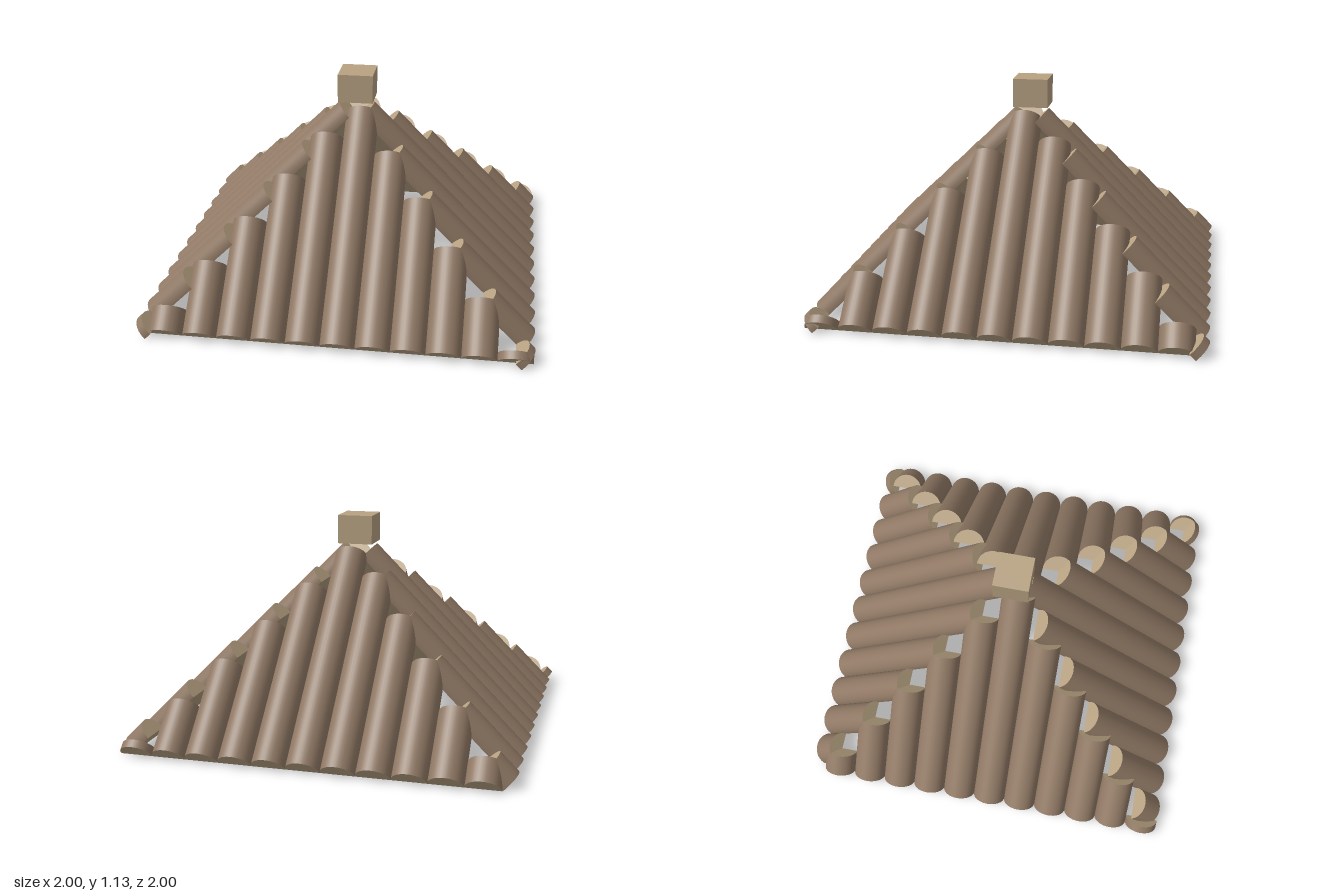
import * as THREE from 'three';
import { mergeGeometries } from 'three/addons/utils/BufferGeometryUtils.js';

const RADIUS = 0.088;
const EAVE = 0.937; // distance from centre to the foot of the flat log faces
const SPACING = 0.1753;
const OFFSET = 0.031; // the rows of logs sit slightly off centre
const SEGMENTS = 16;

const bark = new THREE.MeshStandardMaterial({ color: 0x8f7864 });
const cutWood = new THREE.MeshStandardMaterial({ color: 0xb8a282 });

// Half log standing on y = 0, round side towards +z
function makeHalfLog(length) {
  const log = new THREE.Group();
  log.name = 'halfLog';

  const round = new THREE.CylinderGeometry(RADIUS, RADIUS, length, SEGMENTS, 1, true, -Math.PI / 2, Math.PI);
  round.translate(0, length / 2, 0);
  const barkMesh = new THREE.Mesh(round, bark);
  barkMesh.name = 'logBark';

  const top = new THREE.CircleGeometry(RADIUS, SEGMENTS, Math.PI, Math.PI);
  top.rotateX(-Math.PI / 2).translate(0, length, 0);
  const bottom = new THREE.CircleGeometry(RADIUS, SEGMENTS, 0, Math.PI);
  bottom.rotateX(Math.PI / 2);
  const flat = new THREE.PlaneGeometry(RADIUS * 2, length);
  flat.rotateY(Math.PI).translate(0, length / 2, 0);
  const cutMesh = new THREE.Mesh(mergeGeometries([top, bottom, flat]), cutWood);
  cutMesh.name = 'logCutFaces';

  log.add(barkMesh, cutMesh);
  return log;
}

// One sloping side: logs run up at 45 degrees and stop at the hip line
function makeSlope(name, turn, side) {
  const slope = new THREE.Group();
  slope.name = name;
  for (let i = -5; i <= 5; i++) {
    const u = OFFSET + i * SPACING;
    const log = makeHalfLog((EAVE - Math.abs(u)) * Math.SQRT2);
    log.position.set(side * u, 0, EAVE);
    log.rotation.x = -Math.PI / 4;
    slope.add(log);
  }
  slope.rotation.y = turn * Math.PI / 2;
  return slope;
}

export function createModel() {
  const roof = new THREE.Group();
  roof.name = 'logRoof';

  // Opposite slopes mirror each other
  roof.add(
    makeSlope('frontSlope', 0, 1),
    makeSlope('leftSlope', 1, -1),
    makeSlope('backSlope', 2, -1),
    makeSlope('rightSlope', 3, 1)
  );

  // Block above the peak
  const cap = new THREE.Mesh(new THREE.BoxGeometry(0.187, 0.153, 0.187), cutWood);
  cap.name = 'peakBlock';
  cap.position.set(-0.002, 1.058, -0.002);
  roof.add(cap);

  return roof;
}
